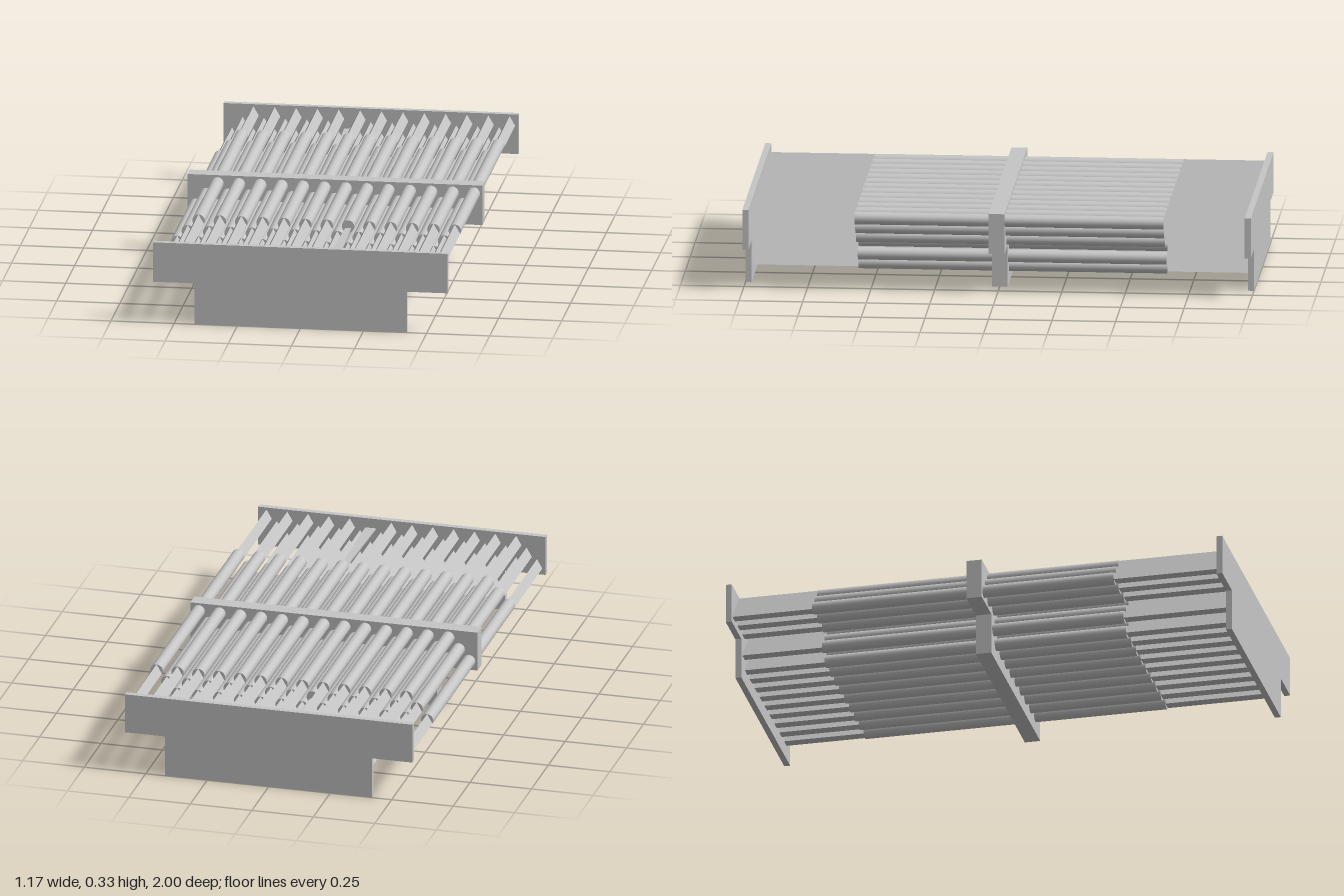
import * as THREE from 'three';
import { toCreasedNormals } from 'three/addons/utils/BufferGeometryUtils.js';

const PITCH = 0.0846;        // spacing of tubes within a row
const ROW_STEP = 0.045;      // spacing between rows
const TOP_ROW_Y = 0.295;
const RADIUS = 0.025;
const SLEEVE_BACK = -0.655, SLEEVE_FRONT = 0.56;
const PLATE_INNER = 0.977;

export function createModel() {
  const group = new THREE.Group();
  const metal = new THREE.MeshStandardMaterial({ color: 0xc6c6c6 });
  metal.name = 'grey metal';

  const add = (name, geometry, x, y, z) => {
    const mesh = new THREE.Mesh(geometry, metal);
    mesh.name = name;
    mesh.position.set(x, y, z);
    group.add(mesh);
    return mesh;
  };
  const shapeOf = (points) => new THREE.Shape(points.map(([x, y]) => new THREE.Vector2(x, y)));

  // T-shaped plates, wide above and narrow below
  const outline = shapeOf([[-0.42, 0], [0.422, 0], [0.422, 0.167], [0.584, 0.167], [0.584, 0.328],
    [-0.584, 0.328], [-0.584, 0.167], [-0.42, 0.167]]);
  const plate = (name, z0, z1) =>
    add(name, new THREE.ExtrudeGeometry(outline, { depth: z1 - z0, bevelEnabled: false }), 0, 0, z0);
  plate('frontPlate', 0.976, 1);
  plate('middlePlate', -0.031, 0.031);
  plate('backPlate', -1, -0.976);

  // Three-sided rod along z with its ridge on top
  const rod = (length) => toCreasedNormals(
    new THREE.CylinderGeometry(RADIUS, RADIUS, length, 3, 1, false, Math.PI).rotateX(Math.PI / 2), 0.5);

  // Flat strip lying on the rod's base, wide at +z and narrower at -z
  const strip = (length) => new THREE.ExtrudeGeometry(
    shapeOf([[-0.0215, -length / 2], [0.0215, -length / 2], [0.011, length / 2], [-0.011, length / 2]]),
    { depth: 0.006, bevelEnabled: false }).rotateX(-Math.PI / 2).translate(0, -RADIUS / 2, 0);

  const frontLength = PLATE_INNER - SLEEVE_FRONT;
  const backLength = SLEEVE_BACK + PLATE_INNER;
  const sleeve = new THREE.CylinderGeometry(RADIUS, RADIUS, SLEEVE_FRONT - SLEEVE_BACK, 20)
    .rotateX(Math.PI / 2);
  const frontRod = rod(frontLength);
  const backRod = rod(backLength);
  const frontStrip = strip(frontLength);
  const backStrip = strip(backLength).rotateY(Math.PI);

  // Staggered rows of sleeved rods: first and last position in pitches from the centre
  const rows = [[-5.5, 6.5], [-6, 6], [-6.5, 5.5], [-4, 4], [-4.5, 4.5], [-4, 4]];
  rows.forEach(([first, last], row) => {
    const y = TOP_ROW_Y - row * ROW_STEP;
    for (let step = first; step <= last; step++) {
      const x = step * PITCH;
      add('sleeve', sleeve, x, y, (SLEEVE_FRONT + SLEEVE_BACK) / 2);
      // One rod at each end is flattened to a strip
      const flatFront = row === 0 && step === 1.5;
      const flatBack = row === 1 && step === -1;
      add(flatFront ? 'frontStrip' : 'frontRod', flatFront ? frontStrip : frontRod,
        x, y, (SLEEVE_FRONT + PLATE_INNER) / 2);
      add(flatBack ? 'backStrip' : 'backRod', flatBack ? backStrip : backRod,
        x, y, (SLEEVE_BACK - PLATE_INNER) / 2);
    }
  });

  return group;
}
